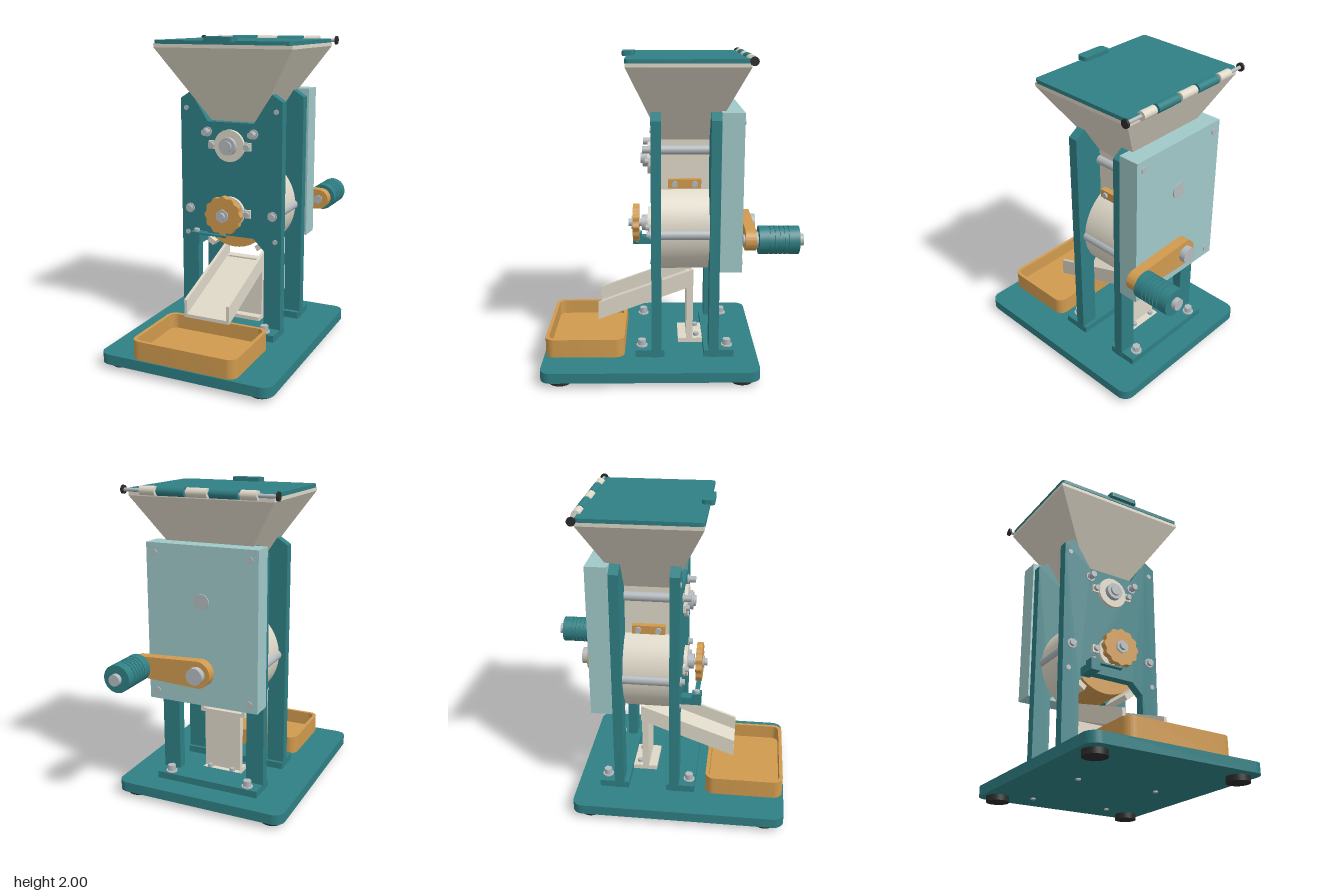
import * as THREE from 'three';
import { toCreasedNormals } from 'three/addons/utils/BufferGeometryUtils.js';

const mat = (name, color) => {
  const m = new THREE.MeshStandardMaterial({ color });
  m.name = name;
  return m;
};

export function createModel() {
  const teal = mat('teal', 0x2f7f84), orange = mat('amber', 0xd09a4e), cream = mat('cream', 0xded8c8);
  const pale = mat('pale teal', 0xa0c8c8), metal = mat('steel', 0xb4babe), black = mat('rubber', 0x2b2b2b);
  const root = new THREE.Group();

  const add = (name, geo, material, x = 0, y = 0, z = 0) => {
    const m = new THREE.Mesh(geo, material);
    m.name = name;
    m.position.set(x, y, z);
    root.add(m);
    return m;
  };
  // Box given by its limits on each axis
  const box = (name, material, x0, x1, y0, y1, z0, z1) =>
    add(name, new THREE.BoxGeometry(x1 - x0, y1 - y0, z1 - z0), material, (x0 + x1) / 2, (y0 + y1) / 2, (z0 + z1) / 2);
  // Cylinders along z, y and x
  const cylZ = (name, material, r, x, y, z0, z1, sides = 32) =>
    add(name, new THREE.CylinderGeometry(r, r, z1 - z0, sides).rotateX(Math.PI / 2), material, x, y, (z0 + z1) / 2);
  const cylY = (name, material, r, x, y0, y1, z, sides = 32) =>
    add(name, new THREE.CylinderGeometry(r, r, y1 - y0, sides), material, x, (y0 + y1) / 2, z);
  const cylX = (name, material, r, x0, x1, y, z) =>
    add(name, new THREE.CylinderGeometry(r, r, x1 - x0, 24).rotateZ(Math.PI / 2), material, (x0 + x1) / 2, y, z);
  const extrude = (shape, depth) => toCreasedNormals(
    new THREE.ExtrudeGeometry(shape, { depth, bevelEnabled: false, curveSegments: 20 }), 0.5);
  const polygon = (pts) => new THREE.Shape(pts.map(([a, b]) => new THREE.Vector2(a, b)));
  const roundRect = (w, h, r) => {
    const s = new THREE.Shape(), a = w / 2 - r, b = h / 2 - r;
    s.absarc(a, b, r, 0, Math.PI / 2);
    s.absarc(-a, b, r, Math.PI / 2, Math.PI);
    s.absarc(-a, -b, r, Math.PI, Math.PI * 1.5);
    s.absarc(a, -b, r, Math.PI * 1.5, Math.PI * 2);
    s.closePath();
    return s;
  };
  // Horizontal slab from a plan shape
  const slab = (name, material, shape, y0, y1, z) =>
    add(name, extrude(shape, y1 - y0).rotateX(-Math.PI / 2), material, 0, y0, z);

  // Base, feet and underside screws
  slab('base', teal, roundRect(1.14, 1.36, 0.07), 0.035, 0.1, 0.12);
  for (const x of [-0.47, 0.47]) for (const z of [0.68, -0.45]) cylY('foot', black, 0.07, x, 0, 0.036, z);

  // Two side-frame plates with legs and a notch for the hopper
  const half = [[0.35, 0.1], [0.35, 1.61], [0.28, 1.655], [0.16, 1.47]];
  const inner = [[0.16, 0.735], [0.235, 0.66], [0.235, 0.1]];
  const mirror = (pts) => pts.map(([x, y]) => [-x, y]).reverse();
  const frame = polygon([...half, ...mirror(half), ...mirror(inner), ...inner]);
  for (const [name, z0, f0, f1, boltZ] of [
    ['frontFrame', 0.05, 0.03, 0.215, 0.175], ['rearFrame', -0.312, -0.41, -0.22, -0.37]]) {
    add(name, extrude(frame, 0.062), teal, 0, 0, z0);
    box('frameFoot', teal, -0.347, 0.347, 0.1, 0.145, f0, f1);
    for (const x of [-0.268, 0.268]) {
      cylY('washer', metal, 0.036, x, 0.145, 0.153, boltZ);
      cylY('footBolt', metal, 0.027, x, 0.15, 0.19, boltZ, 6);
      cylY('footBoltEnd', metal, 0.016, x, 0.026, 0.04, boltZ);
    }
  }

  // Drum shell, open at the top and bottom
  const a = THREE.MathUtils.degToRad(58.5);
  for (const turn of [0, Math.PI]) {
    const s = new THREE.Shape();
    s.absarc(0, 0, 0.305, -a, a, false);
    s.absarc(0, 0, 0.27, a, -a, true);
    s.closePath();
    add('drumShell', extrude(s, 0.3).rotateZ(turn), cream, 0, 0.895, -0.25);
  }
  cylZ('rotor', orange, 0.25, 0, 0.895, -0.245, 0.045, 48);

  // Throat with clamp tabs
  box('throat', cream, -0.16, 0.16, 1.13, 1.47, -0.25, 0.05);
  for (const s of [-1, 1]) {
    box('clampTab', orange, s * 0.175 - 0.025, s * 0.175 + 0.025, 1.17, 1.225, -0.2, 0.005);
    for (const z of [-0.035, -0.16]) cylX('tabBolt', metal, 0.019, s * 0.205 - 0.008, s * 0.205 + 0.008, 1.197, z);
    // Tie rods with nuts on the front
    for (const [x, y, r] of [[0.16, 1.405, 0.03], [0.29, 0.895, 0.032]]) {
      cylZ('tieRod', metal, r, s * x, y, -0.25, 0.05);
      cylZ('tieRodWasher', metal, 0.031, s * x, y, 0.11, 0.12);
      cylZ('tieRodNut', metal, 0.023, s * x, y, 0.115, y > 1 ? 0.165 : 0.14, 6);
    }
    for (const y of [0.73, 1.55]) cylZ('frameScrew', metal, 0.016, s * 0.31, y, 0.11, 0.118);
  }

  // Hopper: a box tapered towards the throat
  const taper = new THREE.BoxGeometry(1, 0.46, 1).toNonIndexed();
  const p = taper.attributes.position;
  for (let i = 0; i < p.count; i++) {
    const top = p.getY(i) > 0;
    p.setX(i, p.getX(i) * (top ? 0.92 : 0.32));
    p.setZ(i, p.getZ(i) * (top ? 0.72 : 0.3) + (top ? -0.107 : -0.1));
  }
  taper.computeVertexNormals();
  add('hopper', taper, cream, 0, 1.7, 0);
  box('hopperRim', cream, -0.46, 0.46, 1.93, 1.952, -0.467, 0.253);

  // Lid, lid handle and hinge
  slab('lid', teal, roundRect(0.92, 0.725, 0.025), 1.952, 1.975, -0.105);
  slab('lidHandle', teal, roundRect(0.2, 0.075, 0.02), 1.97, 2, 0.248);
  cylX('hingePin', metal, 0.011, -0.49, 0.49, 1.965, -0.476);
  cylX('hingeBarrel', cream, 0.028, -0.065, 0.065, 1.965, -0.476);
  for (const s of [-1, 1]) {
    cylX('lidBarrel', teal, 0.028, s * 0.167 - 0.088, s * 0.167 + 0.088, 1.965, -0.476);
    cylX('hingeBarrel', cream, 0.028, s * 0.32 - 0.05, s * 0.32 + 0.05, 1.965, -0.476);
    cylX('pinCap', black, 0.026, s * 0.487 - 0.007, s * 0.487 + 0.007, 1.965, -0.476);
  }

  // Front bearings with ears
  for (const y of [1.325, 0.895]) {
    cylZ('bearingFlange', cream, 0.102, 0, y, 0.11, 0.135);
    box('bearingEars', cream, -0.145, 0.145, y - 0.026, y + 0.026, 0.11, 0.128);
    for (const x of [-0.122, 0.122]) cylZ('bearingBolt', metal, 0.02, x, y, 0.12, 0.15, 6);
  }
  cylZ('upperShaftCollar', metal, 0.056, 0, 1.325, 0.13, 0.165);
  cylZ('upperShaft', metal, 0.034, 0, 1.325, 0.13, 0.18);
  cylZ('lowerCollar', metal, 0.05, 0, 0.895, 0.13, 0.175);
  cylZ('lowerShaft', metal, 0.024, 0, 0.895, 0.13, 0.262);

  // Scalloped adjusting knob
  const knob = [];
  for (let i = 0; i < 72; i++) {
    const t = i / 72 * Math.PI * 2, r = 0.12 + 0.006 * Math.cos(12 * t);
    knob.push([r * Math.cos(t), r * Math.sin(t)]);
  }
  add('knob', extrude(polygon(knob), 0.04), orange, 0, 0.895, 0.192);
  cylZ('knobNut', metal, 0.045, 0, 0.895, 0.23, 0.242, 6);

  // Knob detent bracket
  box('detentArm', teal, -0.225, -0.16, 0.695, 0.745, 0.11, 0.24);
  box('detentPost', teal, -0.225, -0.16, 0.74, 0.77, 0.18, 0.24);
  cylY('detentScrew', metal, 0.02, -0.193, 0.77, 0.787, 0.21, 6);
  box('detentSpring', teal, -0.165, 0, 0.753, 0.764, 0.195, 0.225);
  add('detentTip', new THREE.SphereGeometry(0.016, 16, 12), teal, 0, 0.762, 0.21);

  // Sloping chute on its stand
  const chute = (name, pts, x0, x1) =>
    add(name, extrude(polygon(pts), x1 - x0).rotateY(-Math.PI / 2), cream, x1, 0, 0);
  const side = [[0.46, 0.28], [0.46, 0.395], [-0.16, 0.62], [-0.16, 0.51]];
  chute('chuteSide', side, -0.155, -0.135);
  chute('chuteSide', side, 0.135, 0.155);
  chute('chuteFloor', [[0.46, 0.28], [0.46, 0.302], [-0.16, 0.532], [-0.16, 0.51]], -0.136, 0.136);
  root.children.slice(-3).forEach((m) => m.geometry.scale(1, 1, 1));
  box('chutePost', cream, -0.125, 0.125, 0.12, 0.525, -0.158, -0.115);
  box('chuteFoot', cream, -0.125, 0.125, 0.1, 0.13, -0.22, -0.06);
  for (const x of [-0.08, 0.08]) cylY('chuteFootBolt', metal, 0.018, x, 0.13, 0.15, -0.18, 6);

  // Collecting tray
  const wall = roundRect(0.695, 0.505, 0.06);
  wall.holes.push(roundRect(0.65, 0.46, 0.045));
  slab('trayWall', orange, wall, 0.1, 0.22, 0.538);
  slab('trayFloor', orange, roundRect(0.66, 0.47, 0.045), 0.1, 0.125, 0.538);

  // Rear gear cover
  box('gearCover', pale, -0.363, 0.363, 0.675, 1.66, -0.447, -0.312);
  for (const x of [-0.31, 0.31]) for (const y of [0.73, 1.6]) cylZ('coverScrew', metal, 0.02, x, y, -0.455, -0.445);
  cylZ('coverCap', metal, 0.05, 0, 1.325, -0.455, -0.445);

  // Crank arm, hub and ribbed grip
  const arm = new THREE.Shape();
  arm.absarc(0, 0, 0.085, Math.PI / 2, Math.PI * 1.5);
  arm.absarc(0.395, 0, 0.066, -Math.PI / 2, Math.PI / 2);
  arm.closePath();
  add('crankArm', extrude(arm, 0.065), orange, 0, 0.895, -0.522);
  cylZ('crankShaft', metal, 0.045, 0, 0.895, -0.46, -0.44);
  cylZ('crankHub', metal, 0.053, 0, 0.895, -0.562, -0.52);
  cylZ('gripNut', metal, 0.032, 0.395, 0.895, -0.46, -0.445, 6);
  cylZ('gripAxle', metal, 0.036, 0.395, 0.895, -0.81, -0.52);
  cylZ('gripWasher', metal, 0.05, 0.395, 0.895, -0.535, -0.52);
  const grip = [[0, 0], [0.086, 0], [0.086, 0.06]];
  for (let i = 0; i < 5; i++) {
    const z = 0.06 + i * 0.028;
    grip.push([0.077, z], [0.077, z + 0.007], [0.086, z + 0.007], [0.086, z + 0.028]);
  }
  grip.push([0.086, 0.243], [0, 0.243]);
  const gripGeo = new THREE.LatheGeometry(grip.map(([r, z]) => new THREE.Vector2(r, z)), 40);
  add('crankGrip', toCreasedNormals(gripGeo, 0.6).rotateX(-Math.PI / 2), teal, 0.395, 0.895, -0.537);

  return root;
}
